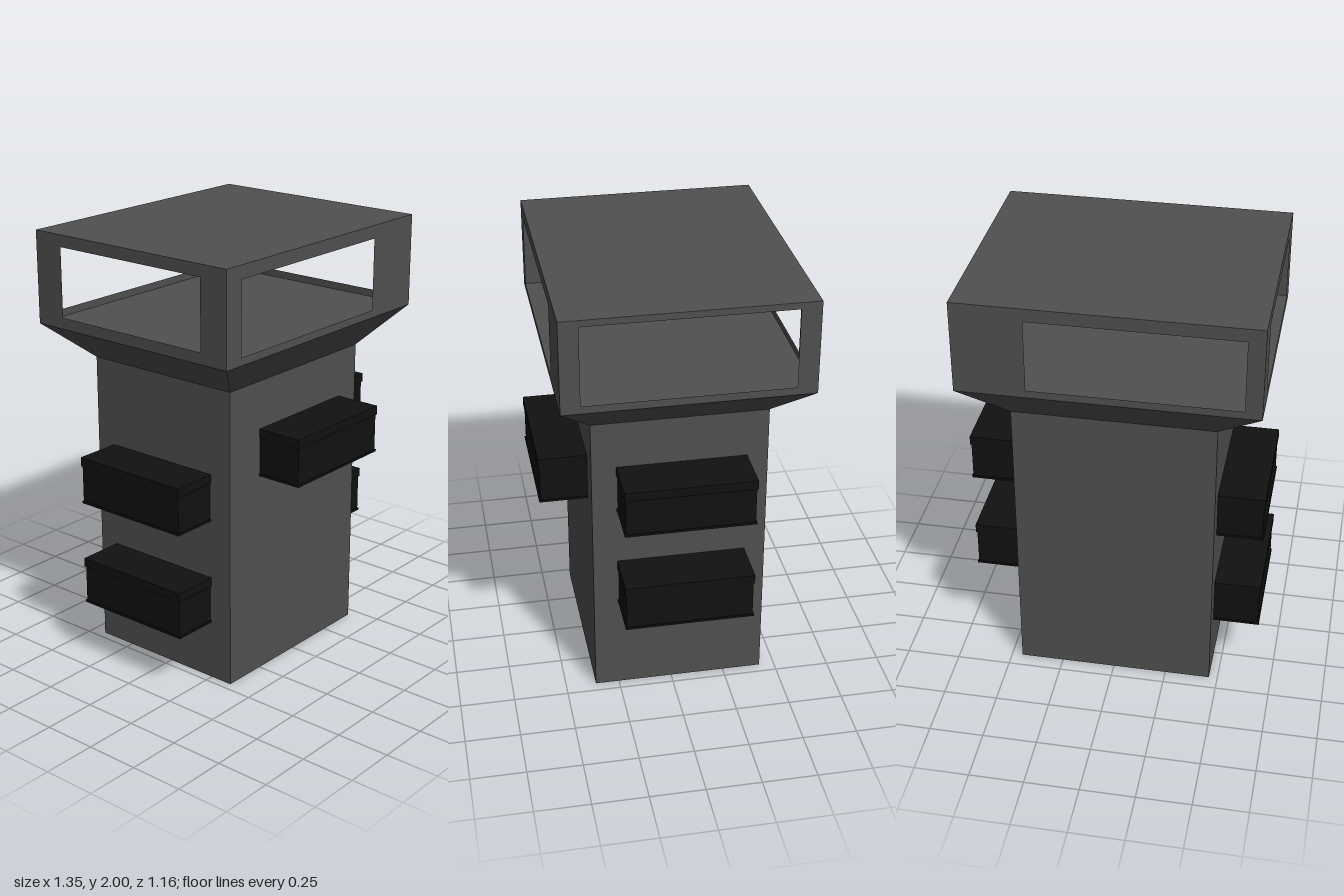
import * as THREE from 'three';

const wallMat = new THREE.MeshStandardMaterial({ color: 0x505050, flatShading: true, side: THREE.DoubleSide });
const unitMat = new THREE.MeshStandardMaterial({ color: 0x111111, flatShading: true });

// Plan outlines: left, right, back, front
const SHAFT = { x0: -0.46, x1: 0.45, z0: -0.43, z1: 0.36 };
const CABIN = { x0: -0.66, x1: 0.655, z0: -0.58, z1: 0.51 };
const SHAFT_TOP = 1.4, CABIN_FLOOR = 1.575, TOP = 2;

function add(parent, name, geometry, material) {
  const mesh = new THREE.Mesh(geometry, material);
  mesh.name = name;
  parent.add(mesh);
  return mesh;
}

// Four sides between two rectangular outlines
function sides(a, ya, b, yb) {
  const ring = (r, y) => [[r.x0, y, r.z1], [r.x1, y, r.z1], [r.x1, y, r.z0], [r.x0, y, r.z0]];
  const lo = ring(a, ya), hi = ring(b, yb), pos = [];
  for (let i = 0; i < 4; i++) {
    const j = (i + 1) % 4;
    pos.push(...lo[i], ...lo[j], ...hi[j], ...lo[i], ...hi[j], ...hi[i]);
  }
  const g = new THREE.BufferGeometry();
  g.setAttribute('position', new THREE.Float32BufferAttribute(pos, 3));
  g.computeVertexNormals();
  return g;
}

// Flat horizontal slab covering an outline
function deck(r, y, faceUp) {
  const g = new THREE.PlaneGeometry(r.x1 - r.x0, r.z1 - r.z0);
  g.rotateX(faceUp ? -Math.PI / 2 : Math.PI / 2);
  return g.translate((r.x0 + r.x1) / 2, y, (r.z0 + r.z1) / 2);
}

// Thin wall with one rectangular window [u0, u1, y0, y1]
function windowWall(u0, u1, [a, b, c, d]) {
  const rect = (C, l, r, lo, hi) => new C([[l, lo], [r, lo], [r, hi], [l, hi]].map(p => new THREE.Vector2(...p)));
  const shape = rect(THREE.Shape, u0, u1, CABIN_FLOOR, TOP);
  shape.holes.push(rect(THREE.Path, a, b, c, d));
  return new THREE.ShapeGeometry(shape);
}

// Wall-mounted box unit: lid, slightly inset case, base plate; projects along local +z
function wallUnit(name, x, y, z, turn, depth) {
  const unit = new THREE.Group(), length = 0.585;
  unit.name = name;
  for (const [part, y0, y1, inset] of [['base', 0, 0.01, 0], ['case', 0.01, 0.18, 0.005], ['lid', 0.18, 0.222, 0]]) {
    const g = new THREE.BoxGeometry(length - 2 * inset, y1 - y0, depth - inset);
    add(unit, part, g.translate(0, (y0 + y1) / 2, (depth - inset) / 2), unitMat);
  }
  unit.position.set(x, y, z);
  unit.rotation.y = turn;
  return unit;
}

export function createModel() {
  const model = new THREE.Group();
  model.name = 'tower';

  // Shaft and flared neck
  add(model, 'shaft', sides(SHAFT, 0, SHAFT, SHAFT_TOP), wallMat);
  add(model, 'shaftBottom', deck(SHAFT, 0, false), wallMat);
  add(model, 'flare', sides(SHAFT, SHAFT_TOP, CABIN, CABIN_FLOOR), wallMat);

  // Hollow cabin with a window in each wall
  const cabin = new THREE.Group();
  cabin.name = 'cabin';
  model.add(cabin);
  add(cabin, 'floor', deck(CABIN, CABIN_FLOOR, true), wallMat);
  add(cabin, 'roof', deck(CABIN, TOP, true), wallMat);
  const { x0, x1, z0, z1 } = CABIN;
  add(cabin, 'frontWall', windowWall(x0, x1, [-0.565, 0.36, 1.61, 1.94]).translate(0, 0, z1), wallMat);
  add(cabin, 'backWall', windowWall(x0, x1, [-0.585, 0.34, 1.61, 1.94]).rotateY(0).translate(0, 0, z0), wallMat);
  add(cabin, 'leftWall', windowWall(z0, z1, [-0.49, 0.425, 1.61, 1.97]).rotateY(-Math.PI / 2).translate(x1, 0, 0), wallMat);
  add(cabin, 'rightWall', windowWall(z0, z1, [-0.43, 0.37, 1.627, 1.945]).rotateY(-Math.PI / 2).translate(x0, 0, 0), wallMat);

  // Box units on the front and both sides
  model.add(wallUnit('frontUnit', 0.033, 0.957, SHAFT.z1, 0, 0.218));
  for (const y of [0.957, 0.463]) model.add(wallUnit('leftUnit', SHAFT.x1, y, -0.043, Math.PI / 2, 0.222));
  for (const y of [0.775, 0.278]) model.add(wallUnit('rightUnit', SHAFT.x0, y, -0.043, -Math.PI / 2, 0.215));

  return model;
}
